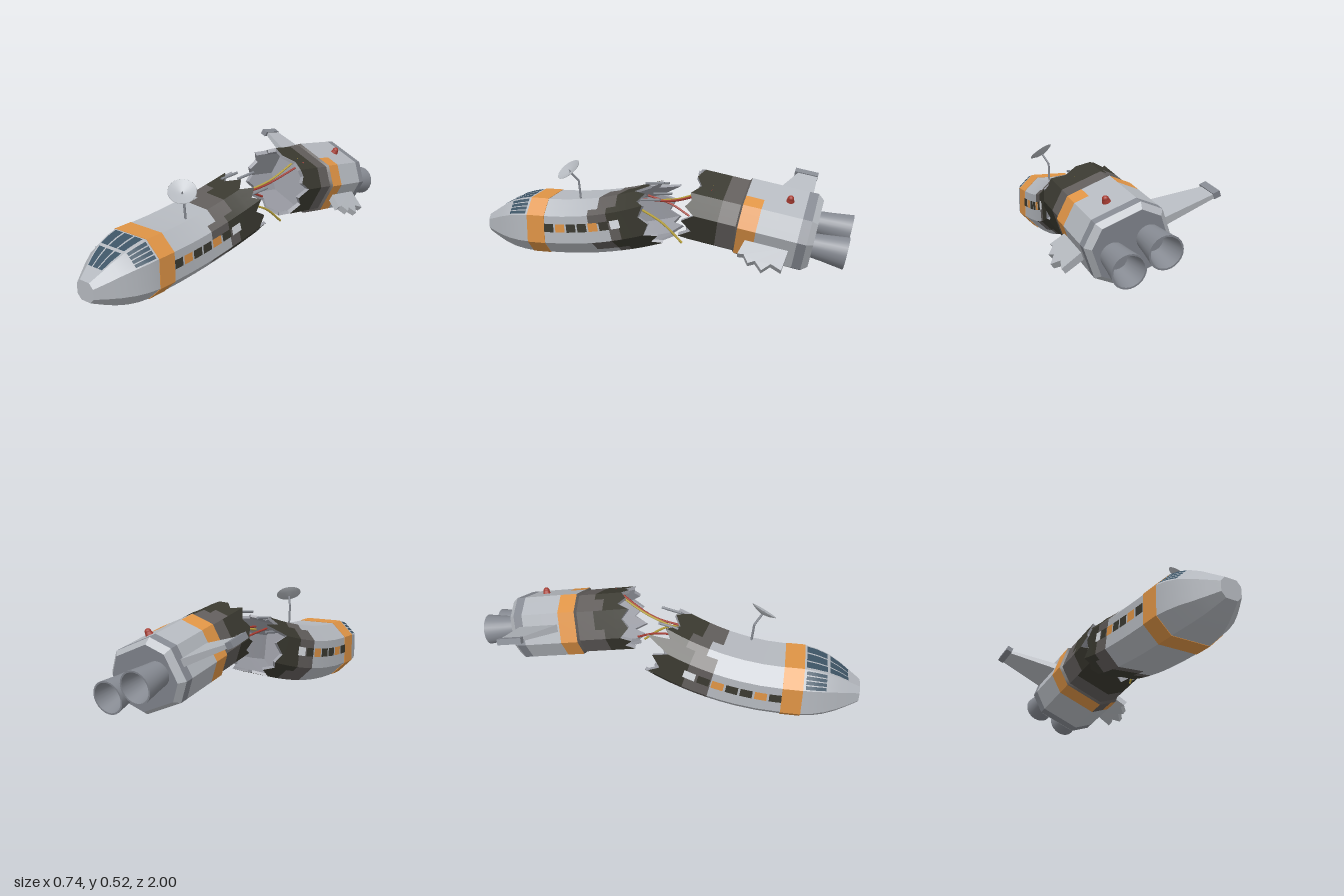
import * as THREE from 'three';
import { toCreasedNormals } from 'three/addons/utils/BufferGeometryUtils.js';

const mat = (name, color) => Object.assign(new THREE.MeshStandardMaterial({ color }), { name });
const M = {
  hull: mat('hull grey', 0xb4b8be), trim: mat('trim grey', 0x858991), inside: mat('interior grey', 0x9a9ca4),
  char: mat('charred', 0x3a3930), scorch: mat('scorched', 0x615d5b), orange: mat('orange', 0xde9345),
  glass: mat('glass', 0x3d5465), red: mat('red', 0xa63a30), yellow: mat('yellow', 0xb9a23c), lit: mat('lit window', 0xe6eaef),
};

let seed = 7;
const rand = () => (seed = (seed * 16807) % 2147483647) / 2147483647;
const lerp = THREE.MathUtils.lerp;
const V = (x, y, z) => new THREE.Vector3(x, y, z);

// Octagonal cross-section, clockwise from the front
const OCT = [[.103, .151], [.181, .075], [.181, -.075], [.103, -.151], [-.103, -.151], [-.181, -.075], [-.181, .075], [-.103, .151]];
const DIV = 3, COLS = 8 * DIV;
const oct = (face, f, s = 1) => {
  const a = OCT[face % 8], b = OCT[(face + 1) % 8];
  return [lerp(a[0], b[0], f) * s, lerp(a[1], b[1], f) * s];
};
const col = (k, s) => oct(Math.floor((k % COLS) / DIV), (k % DIV) / DIV, s);

// Look up [z, ...values] tables sorted by falling z
function table(rows, z) {
  if (z >= rows[0][0]) return rows[0].slice(1);
  for (let i = 1; i < rows.length; i++) {
    const a = rows[i - 1], b = rows[i];
    if (z >= b[0]) return a.slice(1).map((v, j) => lerp(v, b[j + 1], (a[0] - z) / (a[0] - b[0])));
  }
  return rows[rows.length - 1].slice(1);
}

// Front hull: tapered nose, body bending up and sideways towards the break
const NOSE = [[1, .3, .33, .12], [.94, .5, .54, .127], [.89, .66, .71, .134], [.83, .83, .86, .142], [.77, .94, .95, .147], [.71, 1, 1, .151]];
function frontPoint([px, py], z) {
  const [sx, sy, cy] = table(NOSE, z), d = Math.max(0, .62 - z);
  const mx = -.38 * d, my = -.58 * d, nx = Math.hypot(1, mx), ny = Math.hypot(1, my);
  const x = px * sx, y = py * sy;
  return V(-.065 + .19 * d * d + x / nx, cy + .29 * d * d + y / ny, z - x * mx / nx - y * my / ny);
}

// Rear section, in its own tilted frame
const REAR = [[.06, 1], [.05, 1.07], [-.285, 1.07], [-.315, .93]];
function rearPoint([px, py], z) {
  const [s] = table(REAR, z);
  return V(px * s, py * s, z);
}

// Collects quads by colour and turns them into meshes
class Builder {
  constructor(name) { this.name = name; this.parts = new Map(); }
  tri(m, ...pts) {
    if (!this.parts.has(m)) this.parts.set(m, []);
    pts.forEach(p => this.parts.get(m).push(p.x, p.y, p.z));
  }
  quad(m, a, b, c, d) { this.tri(m, a, b, c); this.tri(m, a, c, d); }
  addTo(parent) {
    const g = new THREE.Group();
    g.name = this.name;
    for (const [m, pos] of this.parts) {
      const geo = new THREE.BufferGeometry();
      geo.setAttribute('position', new THREE.Float32BufferAttribute(pos, 3));
      add(g, `${this.name} ${m.name}`, toCreasedNormals(geo, .6), m);
    }
    parent.add(g);
  }
}

// Wall through rows of falling z; a row may be a function of the column
function shell(b, point, rows, colour, scale = 1, inward = false) {
  const z = (i, k) => typeof rows[i] === 'function' ? rows[i](k % COLS) : rows[i];
  const P = (i, k) => point(col(k, scale), z(i, k));
  for (let i = 0; i < rows.length - 1; i++) for (let k = 0; k < COLS; k++) {
    const q = [P(i, k), P(i, k + 1), P(i + 1, k + 1), P(i + 1, k)];
    b.quad(colour(i, k), ...(inward ? q.reverse() : q));
  }
}
// Edge face between scale 1 and scale s
function rim(b, point, edge, s, m, flip) {
  for (let k = 0; k < COLS; k++) {
    const at = (j, t) => point(col(j, t), edge(j % COLS));
    const q = [at(k, 1), at(k + 1, 1), at(k + 1, s), at(k, s)];
    b.quad(m, ...(flip ? q.reverse() : q));
  }
}
function cap(b, point, z, s, m, facing) {
  const c = point([0, 0], z);
  for (let k = 0; k < 8; k++) {
    const p = point(oct(k, 0, s), z), q = point(oct(k + 1, 0, s), z);
    facing > 0 ? b.tri(m, c, q, p) : b.tri(m, c, p, q);
  }
}
// Thin painted panel lying on one face of the front hull
function panel(b, face, f0, f1, z0, z1, m) {
  for (let i = 0; i < 4; i++) {
    const a = lerp(z0, z1, i / 4), c = lerp(z0, z1, (i + 1) / 4), s = 1.022;
    b.quad(m, ...[[f0, a], [f1, a], [f1, c], [f0, c]].map(([f, z]) => frontPoint(oct(face, f, s), z)));
  }
}
function add(parent, name, geo, m, x = 0, y = 0, z = 0) {
  const mesh = new THREE.Mesh(geo, m);
  mesh.name = name;
  mesh.position.set(x, y, z);
  parent.add(mesh);
  return mesh;
}
function strut(parent, name, a, b, r, m) {
  const d = b.clone().sub(a), c = a.clone().add(b).multiplyScalar(.5);
  const mesh = add(parent, name, new THREE.CylinderGeometry(r, r, d.length(), 8), m, c.x, c.y, c.z);
  mesh.quaternion.setFromUnitVectors(V(0, 1, 0), d.normalize());
}
const noise = () => Array.from({ length: COLS * 20 }, rand);
const tear = (base, size) => Array.from({ length: COLS }, (_, k) => base + (k % 2 ? -size : size) * (.1 + .9 * rand()));

function buildFront(root) {
  const b = new Builder('front hull'), n = noise(), jag = tear(0, .042);
  jag[6 * DIV + 1] = -.09;
  const edge = k => jag[k];
  const rows = [1, .94, .89, .83, .77, .71, .61, .5, .4, .33, .27, .21, .15, .1, .06, edge];
  shell(b, frontPoint, rows, (i, k) => {
    const z = typeof rows[i + 1] === 'number' ? rows[i + 1] : 0, r = n[Math.floor(k / 2) + Math.floor(i / 2) * COLS];
    return z < .06 + .12 * r ? M.char : z < .19 + .09 * r ? M.scorch : M.hull;
  });
  cap(b, frontPoint, 1, 1, M.hull, 1);
  // Raised orange band
  shell(b, frontPoint, [.71, .61], () => M.orange, 1.015);
  rim(b, frontPoint, () => .71, 1.015, M.orange, false);
  rim(b, frontPoint, () => .61, 1.015, M.orange, true);
  // Torn interior
  shell(b, frontPoint, [.3, .18, .06, edge], () => M.inside, .91, true);
  rim(b, frontPoint, edge, .91, M.inside, false);
  cap(b, frontPoint, .3, .91, M.inside, -1);
  b.addTo(root);

  // Cockpit glazing
  const w = new Builder('windows');
  for (const [f0, f1] of [[.07, .31], [.36, .64], [.69, .93]])
    for (const [z0, z1] of [[.935, .84], [.825, .72]]) panel(w, 7, f0, f1, z0, z1, M.glass);
  for (const face of [0, 6])
    for (let i = 0; i < 4; i++) panel(w, face, .07 + i * .225, .24 + i * .225, .825, .722, M.glass);
  // Cabin windows on both sides
  [M.char, M.orange, M.char, M.char, M.orange, M.char, M.lit].forEach((m, i) => {
    const z = .61 - i * .069;
    panel(w, 1, .28, .58, z, z - .058, m);
    panel(w, 5, .42, .72, z, z - .058, m);
  });
  w.addTo(root);

  // Dish antenna on a bent mast
  strut(root, 'mast', V(.025, .3, .43), V(.025, .41, .44), .006, M.trim);
  strut(root, 'mast arm', V(.025, .41, .44), V(.052, .464, .478), .006, M.trim);
  const bowl = new THREE.LatheGeometry([[.001, -.006], [.04, .002], [.07, .015], [.068, .017], [.038, .005], [.001, -.002]].map(p => new THREE.Vector2(...p)), 20);
  const dish = add(root, 'dish', bowl, M.hull, .051, .465, .477);
  dish.quaternion.setFromUnitVectors(V(0, 1, 0), V(.42, .78, .45).normalize());
  add(dish, 'dish feed', new THREE.ConeGeometry(.005, .02, 8), M.trim, 0, .008, 0);

  // Bent ribs sticking out of the tear
  for (const [x, y] of [[-.06, .4], [.05, .425], [.14, .36], [-.11, .33]])
    strut(root, 'broken rib', V(x, y, .06), V(x + .02, y + .012, -.045), .007, M.trim);
}

function buildRear(root) {
  const g = new THREE.Group();
  g.name = 'rear section';
  g.position.set(.092, .289, -.51);
  g.rotation.set(-.18, 0, -.4);
  root.add(g);

  const b = new Builder('rear hull'), n = noise(), jag = tear(.305, .036);
  const edge = k => jag[k];
  const rows = [edge, .26, .2, .15, .1, .06, .05, -.04, -.13, -.24, -.285, -.315];
  shell(b, rearPoint, rows, (i, k) => {
    const r = n[Math.floor(k / 2) + Math.floor(i / 2) * COLS], face = Math.floor(k / DIV), part = k % DIV;
    // Orange band, unpainted on the roof and burnt below
    if (i === 6) return face === 7 && part < 2 ? M.hull : face === 2 && part > 0 ? M.scorch : M.orange;
    if (i === 9) return M.trim;
    if (i > 6) return M.hull;
    return rows[i + 1] > .1 + .07 * r ? M.char : M.scorch;
  });
  cap(b, rearPoint, -.315, 1, M.trim, -1);
  shell(b, rearPoint, [edge, .24, .1], () => M.inside, .89, true);
  rim(b, rearPoint, edge, .89, M.inside, true);
  cap(b, rearPoint, .1, .89, M.inside, 1);
  b.addTo(g);

  // Engine nozzles
  const nozzle = new THREE.LatheGeometry([[.06, 0], [.066, .06], [.08, .168], [.072, .168], [.05, .04], [.001, .04]].map(p => new THREE.Vector2(...p)), 24);
  nozzle.rotateX(-Math.PI / 2);
  for (const s of [-1, 1]) add(g, 'engine nozzle', toCreasedNormals(nozzle, .6), M.trim, s * .088, 0, -.31);

  // Whole wing on one side, snapped and drooping stub on the other
  const wing = (name, pts, x) => {
    const geo = new THREE.ExtrudeGeometry(new THREE.Shape(pts.map(p => new THREE.Vector2(...p))), { depth: 1, bevelEnabled: false });
    geo.rotateX(Math.PI / 2).translate(0, .5, 0);
    const p = geo.attributes.position;
    for (let i = 0; i < p.count; i++) p.setY(i, p.getY(i) * lerp(.04, .02, Math.abs(p.getX(i)) / .28));
    geo.computeVertexNormals();
    return add(g, name, geo, M.hull, x);
  };
  wing('wing', [[0, -.04], [-.28, -.15], [-.28, -.255], [0, -.26]], -.17);
  add(g, 'wing tip', new THREE.BoxGeometry(.034, .03, .125), M.trim, -.467, 0, -.195);
  const stub = [[-.02, 0], [.08, .02], [.075, -.01], [.115, -.04], [.095, -.07], [.135, -.11], [.09, -.145], [.11, -.2], [-.02, -.21]];
  wing('broken wing', stub, .19).rotation.z = -.3;

  // Beacon on the roof
  add(g, 'beacon base', new THREE.CylinderGeometry(.016, .021, .018, 12), M.red, 0, .168, -.16);
  add(g, 'beacon', new THREE.SphereGeometry(.016, 12, 8), M.red, 0, .178, -.16);
}

export function createModel() {
  const root = new THREE.Group();
  root.name = 'broken spaceship';
  buildFront(root);
  buildRear(root);
  // Loose cables across the gap
  const cables = [
    [M.red, V(.05, .34, .09), V(.1, .355, -.1), V(.195, .445, -.32)],
    [M.red, V(-.03, .34, .07), V(.01, .31, -.07), V(.035, .26, -.17)],
    [M.yellow, V(.12, .31, .08), V(.15, .25, -.05), V(.165, .155, -.16)],
    [M.yellow, V(.03, .33, .06), V(.1, .37, -.14), V(.155, .46, -.32)],
  ];
  for (const [m, ...pts] of cables)
    add(root, 'cable', new THREE.TubeGeometry(new THREE.CatmullRomCurve3(pts), 16, .006, 6), m);
  return root;
}
